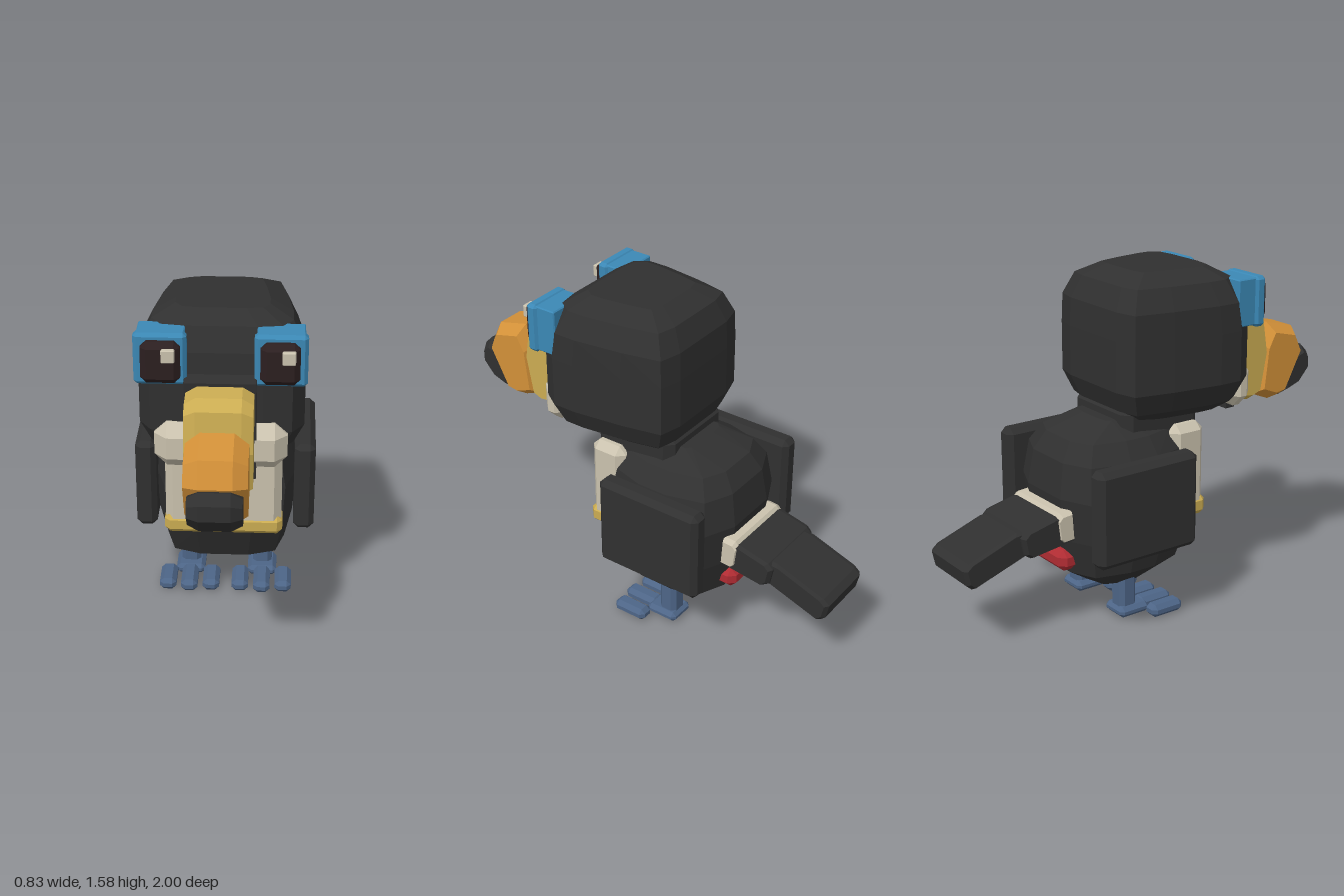
import * as THREE from 'three';
import { ConvexGeometry } from 'three/addons/geometries/ConvexGeometry.js';

const mat = (name, color) => {
  const m = new THREE.MeshStandardMaterial({ color });
  m.name = name;
  return m;
};

const V = (x, y, z) => new THREE.Vector3(x, y, z);

// Box with chamfered edges, given by its limits on each axis
function chamferBox([x0, x1], [y0, y1], [z0, z1], b) {
  const c = [(x0 + x1) / 2, (y0 + y1) / 2, (z0 + z1) / 2];
  const h = [(x1 - x0) / 2, (y1 - y0) / 2, (z1 - z0) / 2];
  const pts = [];
  for (const sx of [-1, 1]) for (const sy of [-1, 1]) for (const sz of [-1, 1]) {
    for (let full = 0; full < 3; full++) {
      const e = h.map((v, i) => (i === full ? v : v - b));
      pts.push(V(c[0] + sx * e[0], c[1] + sy * e[1], c[2] + sz * e[2]));
    }
  }
  return new ConvexGeometry(pts);
}

// Faceted solid from level rings [y, halfWidth, zBack, zFront] and a plan outline
function ringSolid(rings, plan) {
  const pts = [];
  for (const [y, w, z0, z1] of rings) {
    for (const [u, t] of plan) for (const s of [-1, 1]) pts.push(V(s * u * w, y, z0 + t * (z1 - z0)));
  }
  return new ConvexGeometry(pts);
}

// Solid from a side profile [z, y]; the profile shrinks towards the outer sides
function profileSolid(profile, inner, outer, shrink) {
  const n = profile.length;
  const cz = profile.reduce((a, p) => a + p[0], 0) / n;
  const cy = profile.reduce((a, p) => a + p[1], 0) / n;
  const pts = [];
  for (const [z, y] of profile) for (const s of [-1, 1]) {
    pts.push(V(s * inner, y, z));
    pts.push(V(s * outer, cy + (y - cy) * shrink, cz + (z - cz) * shrink));
  }
  return new ConvexGeometry(pts);
}

export function createModel() {
  const black = mat('black feathers', 0x303030);
  const cream = mat('cream', 0xcac2ae);
  const yellow = mat('yellow', 0xcbac52);
  const orange = mat('orange', 0xd29038);
  const blue = mat('blue', 0x3b88b5);
  const slate = mat('slate legs', 0x4d6587);
  const red = mat('red', 0xb02c33);
  const brown = mat('dark brown eye', 0x2c1f20);

  const model = new THREE.Group();
  model.name = 'bird';
  const add = (name, geometry, material) => {
    const mesh = new THREE.Mesh(geometry, material);
    mesh.name = name;
    model.add(mesh);
    return mesh;
  };

  // Body, neck and head
  add('body', ringSolid([
    [0.17, 0.2, -0.32, -0.05], [0.25, 0.28, -0.44, 0.1], [0.42, 0.315, -0.48, 0.17],
    [0.62, 0.33, -0.5, 0.15], [0.78, 0.3, -0.475, 0.12], [0.865, 0.24, -0.42, 0.08], [0.93, 0.13, -0.25, -0.18],
  ], [[0.4, 0], [0.84, 0.1], [1, 0.4], [1, 0.65], [0.85, 0.92], [0.4, 1]]), black);
  add('neck', chamferBox([-0.21, 0.21], [0.8, 1.0], [-0.2, 0.22], 0.04), black);
  add('head', ringSolid([
    [0.92, 0.24, -0.13, 0.33], [0.97, 0.31, -0.19, 0.39], [1.07, 0.355, -0.23, 0.43],
    [1.3, 0.355, -0.23, 0.43], [1.43, 0.35, -0.225, 0.41], [1.53, 0.3, -0.18, 0.36], [1.58, 0.2, -0.08, 0.28],
  ], [[0.5, 0], [0.8, 0.04], [0.91, 0.32], [1, 0.68], [1, 0.85], [0.85, 0.97], [0.5, 1]]), black);

  // Chest patch and band
  add('chest', chamferBox([-0.265, 0.265], [0.46, 0.88], [0.03, 0.212], 0.035), cream);
  add('chestBand', chamferBox([-0.27, 0.27], [0.43, 0.525], [0.08, 0.218], 0.025), yellow);

  // Beak: backing plate, base, middle and tip
  add('beakBacking', profileSolid([[0.42, 1.34], [0.505, 1.335], [0.47, 0.87], [0.42, 0.87]], 0.15, 0.152, 0.98), black);
  add('beakBase', profileSolid([
    [0.44, 1.325], [0.6, 1.315], [0.66, 1.28], [0.69, 1.1], [0.65, 0.89], [0.6, 0.87], [0.38, 0.895],
  ], 0.095, 0.143, 0.86), yellow);
  add('beakMiddle', profileSolid([
    [0.73, 1.225], [0.89, 1.185], [0.94, 1.08], [0.82, 0.85], [0.75, 0.84], [0.65, 0.88], [0.68, 1.13],
  ], 0.07, 0.13, 0.78), orange);
  add('beakTip', profileSolid([
    [0.88, 1.05], [0.96, 1.08], [1, 1.04], [1, 0.97], [0.92, 0.88], [0.82, 0.845], [0.81, 0.93],
  ], 0.065, 0.112, 0.7), black);

  for (const s of [-1, 1]) {
    const side = s > 0 ? 'left' : 'right';
    const span = (a, b) => (s > 0 ? [a, b] : [-b, -a]);

    // Eyes with blue surrounds
    add(side + 'EyeBlock', chamferBox(span(0.15, 0.35), [1.315, 1.53], [0.315, 0.44], 0.005), blue);
    add(side + 'EyeFrame', chamferBox(span(0.14, 0.362), [1.305, 1.535], [0.405, 0.465], 0.015), blue);
    add(side + 'Eye', chamferBox(span(0.165, 0.33), [1.325, 1.508], [0.44, 0.508], 0.025), brown);
    const hx = s * 0.248 + 0.035;
    add(side + 'EyeGlint', chamferBox([hx - 0.028, hx + 0.028], [1.43, 1.487], [0.49, 0.525], 0.004), cream);

    // Cheek, wing
    add(side + 'Cheek', chamferBox(span(0.09, 0.285), [0.91, 1.12], [0.34, 0.485], 0.055), cream);
    add(side + 'Wing', chamferBox(span(0.32, 0.417), [0.365, 0.81], [-0.48, 0.052], 0.025), black);

    // Leg, heel and three toes
    add(side + 'Leg', chamferBox(span(0.128, 0.222), [0.02, 0.32], [-0.235, -0.145], 0.02), slate);
    add(side + 'Heel', chamferBox(span(0.105, 0.245), [0.008, 0.058], [-0.25, -0.09], 0.018), slate);
    for (const [i, x] of [0.07, 0.175, 0.278].entries()) {
      add(side + 'Toe' + (i + 1), chamferBox(span(x - 0.04, x + 0.04), [0, 0.06], [-0.12, i === 1 ? 0.06 : 0.05], 0.02), slate);
    }
  }

  // Tail
  add('tailCuff', profileSolid([[-0.47, 0.58], [-0.53, 0.575], [-0.552, 0.55], [-0.54, 0.45], [-0.52, 0.43], [-0.46, 0.435]], 0.17, 0.195, 0.8), cream);
  add('tailBase', profileSolid([[-0.45, 0.56], [-0.55, 0.56], [-0.7, 0.525], [-0.725, 0.5], [-0.71, 0.42], [-0.68, 0.4], [-0.45, 0.43]], 0.165, 0.186, 0.88), black);
  add('tailTip', profileSolid([[-0.66, 0.525], [-0.73, 0.52], [-0.97, 0.435], [-1, 0.41], [-0.985, 0.34], [-0.96, 0.318], [-0.66, 0.42]], 0.135, 0.156, 0.9), black);
  add('vent', chamferBox([-0.15, 0.15], [0.27, 0.37], [-0.51, -0.4], 0.03), red);

  return model;
}
